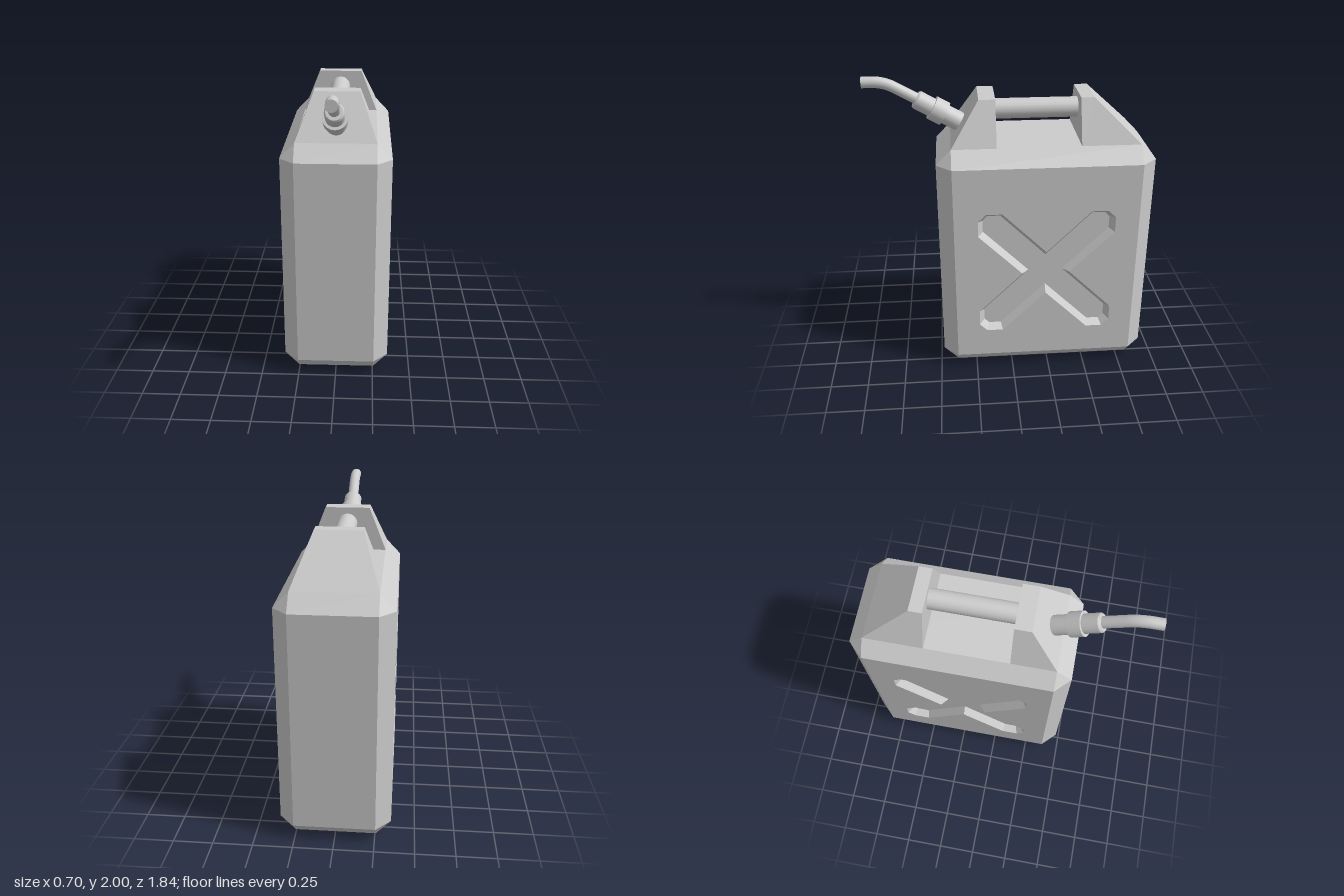
import * as THREE from 'three';

const CZ = -0.22; // centre of the can body along z
const V = (x, y, z) => new THREE.Vector3(x, y, z);

// Collects triangles from polygons and bands, skipping collapsed ones.
class Faces {
  constructor() { this.pos = []; }
  poly(...p) {
    for (let i = 1; i < p.length - 1; i++) {
      const n = p[i].clone().sub(p[0]).cross(p[i + 1].clone().sub(p[0]));
      if (n.length() > 1e-7) for (const v of [p[0], p[i], p[i + 1]]) this.pos.push(v.x, v.y, v.z);
    }
  }
  band(a, b, skip = []) {
    a.forEach((p, i) => {
      const j = (i + 1) % a.length;
      if (!skip.includes(i)) this.poly(p, a[j], b[j], b[i]);
    });
  }
  geometry() {
    const g = new THREE.BufferGeometry();
    g.setAttribute('position', new THREE.Float32BufferAttribute(this.pos, 3));
    g.computeVertexNormals();
    return g;
  }
}

export function createModel() {
  const model = new THREE.Group();
  model.name = 'fuelCan';
  const flat = new THREE.MeshStandardMaterial({ color: 0xcccccc, flatShading: true });
  const smooth = new THREE.MeshStandardMaterial({ color: 0xcccccc });
  const add = (parent, name, geo, mat) => {
    const m = new THREE.Mesh(geo, mat);
    m.name = name;
    parent.add(m);
    return m;
  };

  // Chamfered body, leaving the two broad sides open for the panels
  const xi = 0.255, zi = 0.6;
  const ring = (y, X, Z) => [
    [X, zi], [X, -zi], [xi, -Z], [-xi, -Z], [-X, -zi], [-X, zi], [-xi, Z], [xi, Z],
  ].map(([x, z]) => V(x, y, z + CZ));
  const rings = [ring(0, xi, zi), ring(0.1, 0.35, 0.697), ring(1.5, 0.35, 0.697), ring(1.6, xi, zi)];
  const body = new Faces();
  body.band(rings[0], rings[1]);
  body.band(rings[1], rings[2], [0, 4]);
  body.band(rings[2], rings[3]);
  body.poly(...rings[3]);
  body.poly(...rings[0].slice().reverse());
  add(model, 'body', body.geometry(), flat);

  // Side panels with a recessed cross
  const depth = 0.05;
  const cross = (notch, tip, cut) => {
    const s = tip - notch, pts = [];
    const arm = [[notch, 0], [tip, s], [tip, tip - cut], [tip - cut, tip], [s, tip]];
    for (let q = 0; q < 4; q++) {
      for (const [x, y] of arm) {
        const p = new THREE.Vector2(x, y).rotateAround(new THREE.Vector2(), q * Math.PI / 2);
        pts.push(p.add(new THREE.Vector2(0, 0.745)));
      }
    }
    return pts;
  };
  const outer = cross(0.157, 0.445, 0.05), inner = cross(0.113, 0.413, 0.032);
  const panelShape = new THREE.Shape([[-zi, 0.1], [zi, 0.1], [zi, 1.5], [-zi, 1.5]]
    .map(([x, y]) => new THREE.Vector2(x, y)));
  panelShape.holes.push(new THREE.Path(outer));
  const walls = new Faces();
  walls.band(outer.map(p => V(p.x, p.y, 0)), inner.map(p => V(p.x, p.y, -depth)));
  for (const side of [1, -1]) {
    const g = new THREE.Group();
    g.name = side > 0 ? 'leftSide' : 'rightSide';
    g.position.set(0.35 * side, 0, CZ);
    g.rotation.y = side * Math.PI / 2;
    add(g, 'sidePanel', new THREE.ShapeGeometry(panelShape), flat);
    add(g, 'crossWalls', walls.geometry(), flat);
    add(g, 'crossFloor', new THREE.ShapeGeometry(new THREE.Shape(inner)), flat).position.z = -depth;
    model.add(g);
  }

  // Tapered shoulders that carry the handle
  const rect = (x, y, zf, zb) => [V(x, y, zf), V(x, y, zb), V(-x, y, zb), V(-x, y, zf)];
  const shoulder = (name, base, top) => {
    const f = new Faces();
    f.band(base, top);
    f.poly(...top);
    add(model, name, f.geometry(), flat);
  };
  shoulder('frontShoulder', rect(xi, 1.6, zi + CZ, 0.095), rect(0.145, 1.88, 0.2, 0.095));
  shoulder('backShoulder', rect(xi, 1.6, -0.44, -zi + CZ), rect(0.145, 1.88, -0.44, -0.525));

  // Handle bar
  const handle = add(model, 'handle', new THREE.CylinderGeometry(0.065, 0.065, 0.56, 20), smooth);
  handle.rotation.x = Math.PI / 2;
  handle.position.set(0, 1.775, -0.172);

  // Spout fittings along a tilted axis
  const spout = new THREE.Group();
  spout.name = 'spout';
  spout.position.set(0, 1.77, 0.45);
  spout.rotation.x = Math.PI / 3;
  model.add(spout);
  const fitting = (name, r0, r1, from, to) => {
    add(spout, name, new THREE.CylinderGeometry(r1, r0, to - from, 20), smooth).position.y = (from + to) / 2;
  };
  fitting('spoutNeck', 0.062, 0.062, -0.24, -0.04);
  fitting('spoutCollar', 0.078, 0.078, -0.045, 0.045);
  fitting('spoutSleeve', 0.06, 0.06, 0.04, 0.15);
  fitting('spoutSleeveEdge', 0.06, 0.052, 0.15, 0.162);

  // Bent pouring tube with closed tip
  const path = new THREE.CurvePath();
  path.add(new THREE.LineCurve3(V(0, 1.84, 0.56), V(0, 1.93, 0.72)));
  path.add(new THREE.QuadraticBezierCurve3(V(0, 1.93, 0.72), V(0, 1.965, 0.782), V(0, 1.965, 0.86)));
  path.add(new THREE.LineCurve3(V(0, 1.965, 0.86), V(0, 1.965, 0.918)));
  add(model, 'pouringTube', new THREE.TubeGeometry(path, 24, 0.036, 16), smooth);
  add(model, 'tubeTip', new THREE.CircleGeometry(0.036, 16), smooth).position.set(0, 1.965, 0.918);

  return model;
}
